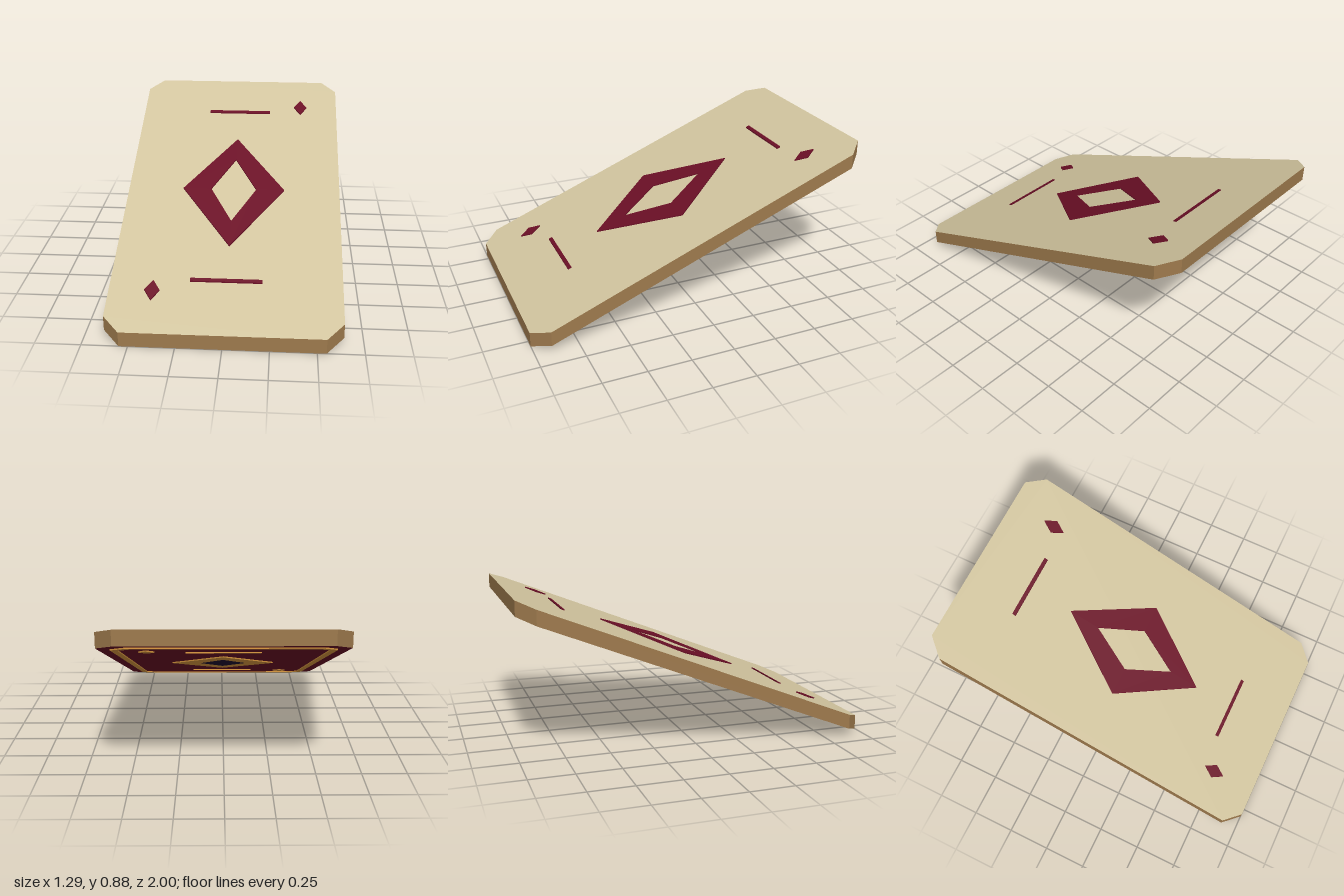
import * as THREE from 'three';

const THICK = 0.085, SLOPE = 0.4, INLAY = 0.007;

const mat = (name, color) => {
  const m = new THREE.MeshStandardMaterial({ color });
  m.name = name;
  return m;
};

// Rectangle with cut corners, as [x, z] points
const cutRect = (x, z, c) => [
  [x - c, z], [x, z - c], [x, c - z], [x - c, -z],
  [c - x, -z], [-x, c - z], [-x, z - c], [c - x, z],
];
const diamond = (w, d, x = 0, z = 0) => [[x, z + d], [x + w, z], [x, z - d], [x - w, z]];
const bar = (z) => [[0.2, z + 0.01], [0.2, z - 0.01], [-0.2, z - 0.01], [-0.2, z + 0.01]];

// Extrudes an [x, z] outline upward from y, then leans it along the slope
function slab(outline, y, height, hole) {
  const pts = (list) => list.map(([x, z]) => new THREE.Vector2(x, -z));
  const shape = new THREE.Shape(pts(outline));
  if (hole) shape.holes.push(new THREE.Path(pts(hole)));
  const geo = new THREE.ExtrudeGeometry(shape, { depth: height, bevelEnabled: false });
  geo.rotateX(-Math.PI / 2);
  const p = geo.attributes.position;
  for (let i = 0; i < p.count; i++) p.setY(i, p.getY(i) + y + SLOPE * (1 - p.getZ(i)));
  geo.computeVertexNormals();
  return geo;
}

export function createModel() {
  const cream = mat('cream', 0xd2c59f);
  const brown = mat('edge brown', 0x9e7a4d);
  const red = mat('wine red', 0x6b0f26);
  const gold = mat('gold', 0xde9b40);
  const indigo = mat('dark indigo', 0x1f0d32);

  const group = new THREE.Group();
  group.name = 'card';
  const add = (name, geo, material) => {
    const mesh = new THREE.Mesh(geo, material);
    mesh.name = name;
    group.add(mesh);
  };

  // Card body: red back cap, cream face cap, brown rim
  const body = slab(cutRect(0.643, 1, 0.094), 0, THICK);
  const [caps, rim] = body.groups;
  body.clearGroups();
  body.addGroup(0, caps.count / 2, 0);
  body.addGroup(caps.count / 2, caps.count / 2, 1);
  body.addGroup(rim.start, rim.count, 2);
  add('cardBody', body, [red, cream, brown]);

  // The same inlays on the face (red) and the back (gold)
  for (const [side, y, m] of [['face', THICK, red], ['back', -INLAY, gold]]) {
    add(side + 'DiamondRing', slab(diamond(0.308, 0.425), y, INLAY, diamond(0.138, 0.247)), m);
    add(side + 'UpperBar', slab(bar(-0.685), y, INLAY), m);
    add(side + 'LowerBar', slab(bar(0.662), y, INLAY), m);
    for (const s of [1, -1]) {
      add(side + (s > 0 ? 'Upper' : 'Lower') + 'Pip',
        slab(diamond(0.042, 0.063, 0.403 * s, -0.737 * s), y, INLAY), m);
    }
  }

  // Back only: border frame and dark centre
  add('backBorder', slab(cutRect(0.575, 0.943, 0.078), -INLAY, INLAY, cutRect(0.54, 0.908, 0.066)), gold);
  add('backDiamondCentre', slab(diamond(0.138, 0.247), -INLAY, INLAY), indigo);

  return group;
}
